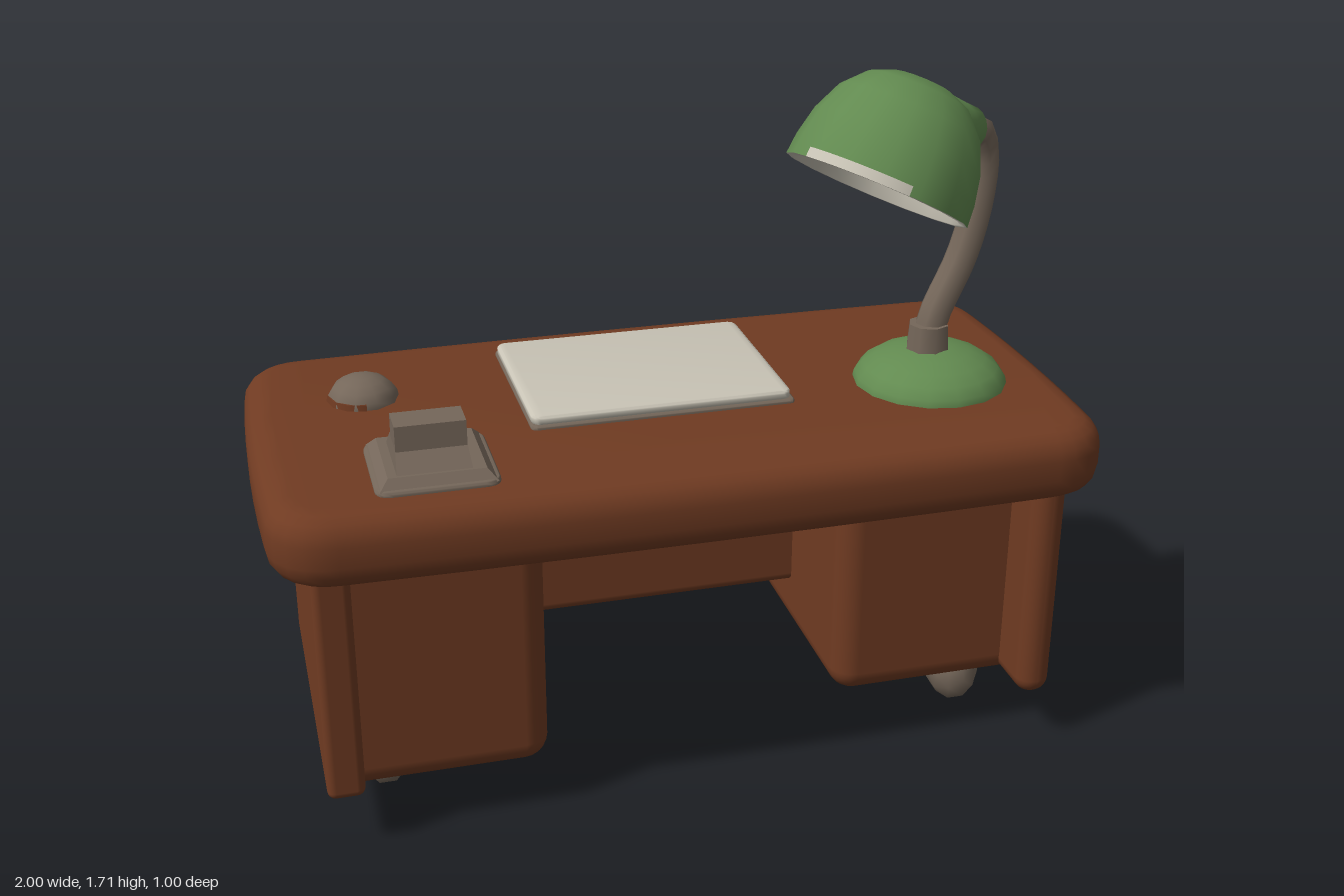
import * as THREE from 'three';
import { mergeVertices, toCreasedNormals } from 'three/addons/utils/BufferGeometryUtils.js';
import { RoundedBoxGeometry } from 'three/addons/geometries/RoundedBoxGeometry.js';

const material = (name, color, extra = {}) => {
  const m = new THREE.MeshStandardMaterial({ color, ...extra });
  m.name = name;
  return m;
};

export function createModel() {
  const model = new THREE.Group();
  model.name = 'writingDesk';

  const wood = material('brown wood', 0x703b22);
  const green = material('green enamel', 0x628a50);
  const taupe = material('taupe metal', 0x75675a);
  const paper = material('cream paper', 0xc8c3b5, { side: THREE.DoubleSide });

  const add = (name, geometry, mat, x = 0, y = 0, z = 0, parent = model) => {
    const mesh = new THREE.Mesh(geometry, mat);
    mesh.name = name;
    mesh.position.set(x, y, z);
    parent.add(mesh);
    return mesh;
  };

  // Rounded box given by its limits
  const block = (name, mat, [x0, x1], [y0, y1], [z0, z1], r) =>
    add(name, new RoundedBoxGeometry(x1 - x0, y1 - y0, z1 - z0, 3, r), mat,
      (x0 + x1) / 2, (y0 + y1) / 2, (z0 + z1) / 2);

  // Slab with rounded plan corners, soft edges and slightly bowed sides, lying on y = 0
  const slab = (w, d, h, corner, bevel, bow = 0) => {
    const a = w / 2 - bevel - bow, b = d / 2 - bevel - bow, c = corner, s = new THREE.Shape();
    s.moveTo(-a + c, -b);
    s.quadraticCurveTo(0, -b - 2 * bow, a - c, -b).quadraticCurveTo(a, -b, a, -b + c);
    s.quadraticCurveTo(a + 2 * bow, 0, a, b - c).quadraticCurveTo(a, b, a - c, b);
    s.quadraticCurveTo(0, b + 2 * bow, -a + c, b).quadraticCurveTo(-a, b, -a, b - c);
    s.quadraticCurveTo(-a - 2 * bow, 0, -a, -b + c).quadraticCurveTo(-a, -b, -a + c, -b);
    const g = new THREE.ExtrudeGeometry(s, {
      depth: h - 2 * bevel, bevelSize: bevel, bevelThickness: bevel, bevelSegments: 4, curveSegments: 6,
    });
    g.rotateX(-Math.PI / 2).translate(0, bevel, 0);
    g.deleteAttribute('uv');
    g.deleteAttribute('normal');
    return toCreasedNormals(mergeVertices(g, 1e-4), 0.9);
  };

  // Desk body: the left pedestal front is set back behind its side panel
  add('deskTop', slab(2, 1, 0.18, 0.09, 0.065, 0.01), wood, 0, 0.71, 0);
  block('backPanel', wood, [-0.42, 0.42], [0.28, 0.74], [-0.25, -0.06], 0.025);
  for (const s of [-1, 1]) {
    const span = (a, b) => (s > 0 ? [a, b] : [-b, -a]);
    block('pedestal', wood, span(0.372, 0.897), [0.138, 0.78], [-0.402, s > 0 ? 0.3 : 0.395], 0.06);
    block('sidePanel', wood, span(0.815, 0.903), [0.145, 0.77], [-0.39, 0.43], s > 0 ? 0.042 : 0.02);
    for (const z of [0.16, -0.21]) {
      const foot = add('foot', new THREE.IcosahedronGeometry(1, 1), taupe, s * 0.745, 0.1, z);
      foot.scale.set(0.067, 0.095, 0.092);
    }
  }

  // Paper pad
  add('padBacking', slab(0.65, 0.5, 0.02, 0.01, 0.006), taupe, -0.025, 0.88, -0.11);
  add('paperSheet', slab(0.64, 0.49, 0.025, 0.02, 0.008), paper, -0.027, 0.895, -0.112);

  // Desk bell with a wooden rim on its outer side
  const bell = add('bell', new THREE.SphereGeometry(0.088, 10, 5, 0, Math.PI * 2, 0, Math.PI / 2), taupe, -0.71, 0.885, -0.16);
  bell.scale.y = 0.75;
  add('bellRim', new THREE.CylinderGeometry(0.086, 0.09, 0.03, 6, 1, false, Math.PI, Math.PI), wood, -0.71, 0.89, -0.16);

  // Desk set: sloping base with an upright block
  const taper = (w, h, d, kx, kz) => {
    const g = new THREE.BoxGeometry(w, h, d), p = g.attributes.position;
    for (let i = 0; i < p.count; i++) {
      if (p.getY(i) > 0) p.setXYZ(i, p.getX(i) * kx, p.getY(i), p.getZ(i) * kz);
    }
    g.computeVertexNormals();
    return g;
  };
  const deskSet = new THREE.Group();
  deskSet.name = 'deskSet';
  deskSet.position.set(-0.605, 0.88, 0.265);
  model.add(deskSet);
  add('deskSetBase', slab(0.28, 0.28, 0.022, 0.03, 0.008), taupe, 0, 0, 0, deskSet);
  add('deskSetSlope', taper(0.265, 0.025, 0.265, 0.83, 0.83), taupe, 0, 0.03, 0, deskSet);
  add('deskSetNeck', taper(0.17, 0.05, 0.2, 0.94, 0.5), taupe, -0.005, 0.06, 0.01, deskSet);
  add('deskSetBlock', taper(0.16, 0.08, 0.09, 1, 0.9), taupe, -0.005, 0.1, 0.02, deskSet);

  // Lamp foot and collar
  const base = add('lampBase', new THREE.SphereGeometry(0.193, 16, 6, 0, Math.PI * 2, 0, Math.PI / 2), green, 0.67, 0.88, 0.078);
  base.scale.y = 0.53;
  add('lampCollar', new THREE.CylinderGeometry(0.05, 0.055, 0.07, 8), taupe, 0.66, 1.005, 0.08);

  // Curved lamp arm
  const arm = new THREE.CatmullRomCurve3([
    [0.66, 1.0, 0.08], [0.675, 1.06, 0.075], [0.745, 1.2, 0.058], [0.782, 1.33, 0.047],
    [0.79, 1.45, 0.045], [0.765, 1.51, 0.06], [0.7, 1.535, 0.085],
  ].map((p) => new THREE.Vector3(...p)));
  add('lampArm', new THREE.TubeGeometry(arm, 16, 0.04, 8), taupe);

  // Lamp shade: dome tilted down towards the sitter
  const up = new THREE.Vector3(0, 1, 0);
  const lathe = (pts, ...arc) => new THREE.LatheGeometry(pts.map((p) => new THREE.Vector2(...p)), 16, ...arc);
  const shade = new THREE.Group();
  shade.name = 'lampShade';
  shade.position.set(0.44, 1.445, 0.245);
  shade.quaternion.setFromUnitVectors(up, new THREE.Vector3(0.45, 0.87, -0.19).normalize());
  model.add(shade);
  add('shadeOuter', lathe([[0.222, 0], [0.218, 0.05], [0.203, 0.12], [0.172, 0.19], [0.125, 0.24], [0.07, 0.263], [0, 0.268]]),
    green, 0, 0, 0, shade);
  add('shadeInner', lathe([[0, 0.2], [0.1, 0.17], [0.15, 0.12], [0.19, 0.05], [0.205, 0], [0.222, 0]]),
    paper, 0, 0, 0, shade);
  // Pale worn strip on the front of the rim
  add('rimStrip', lathe([[0.223, -0.001], [0.222, 0.022]], -1.3, 1.2), paper, 0, 0, 0, shade);

  // Flared neck joining shade and arm
  const from = new THREE.Vector3(0.6, 1.54, 0.14), to = new THREE.Vector3(0.742, 1.525, 0.065);
  const length = from.distanceTo(to);
  const neck = add('shadeNeck', lathe([[0.1, 0], [0.092, length * 0.3], [0.07, length * 0.65], [0.05, length], [0, length]]), green);
  neck.position.copy(from);
  neck.quaternion.setFromUnitVectors(up, to.clone().sub(from).normalize());

  return model;
}
